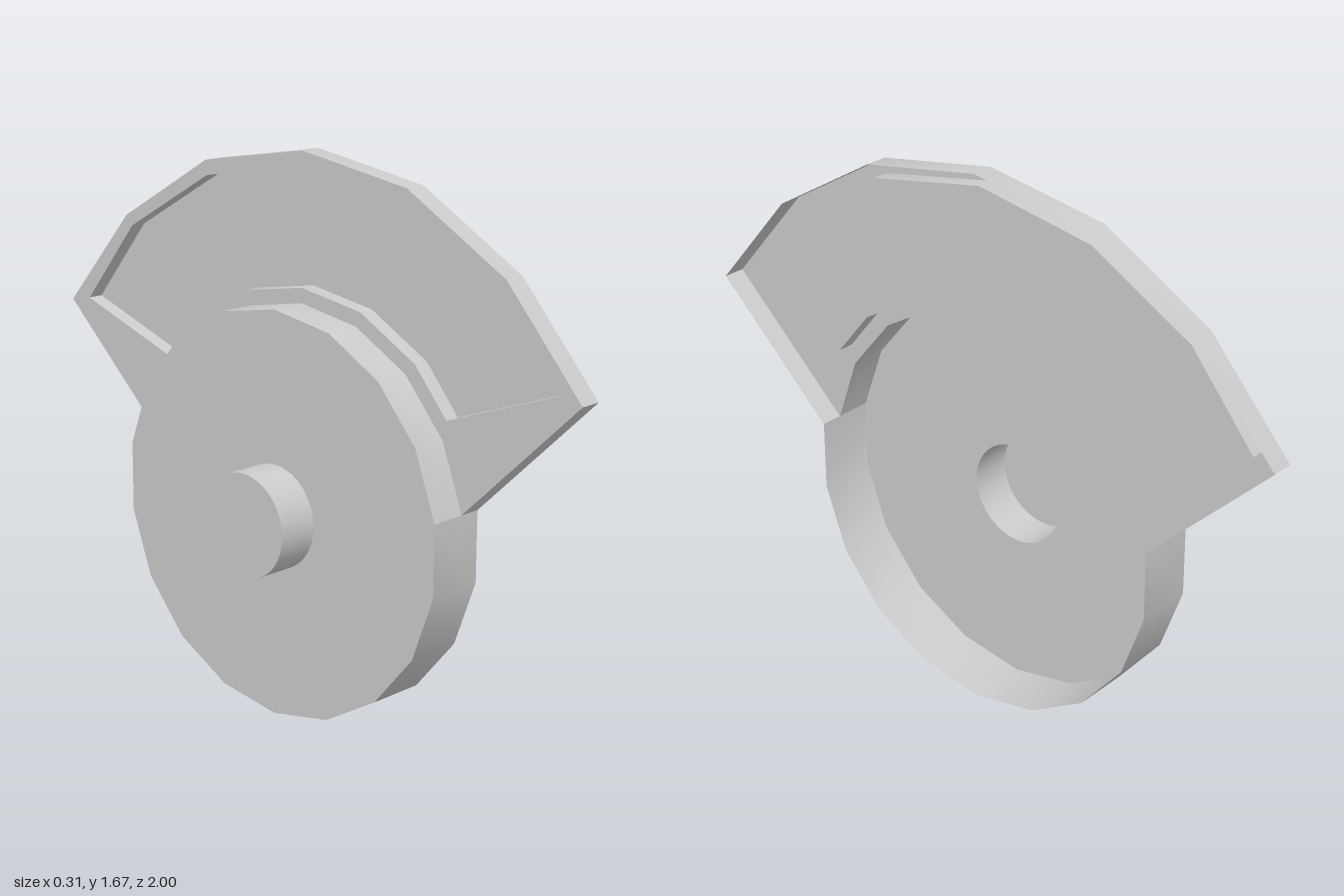
import * as THREE from 'three';
import { toCreasedNormals } from 'three/addons/utils/BufferGeometryUtils.js';

const material = new THREE.MeshStandardMaterial({ color: 0xcccccc, side: THREE.DoubleSide });

// Depths along x
const PIN = -0.16, DISC = -0.03, FAN = 0.085, PANEL = 0.135, RIM = 0.155;
const CY = 0.615;

// Points are (z, y) pairs; a half profile is completed by mirroring in z
const mirror = (half) => {
  const other = half.filter(([z]) => z !== 0).reverse().map(([z, y]) => [-z, y]);
  return [...half, ...other];
};

// Arc about the disc centre, angle in degrees measured up from the bottom
const arc = (r, sides, from = 0, count = sides) =>
  Array.from({ length: count }, (_, i) => {
    const a = (from + i * 360 / sides) * Math.PI / 180;
    return [r * Math.sin(a), CY - r * Math.cos(a)];
  });

// Flat face at depth x, looking towards -x
function face(points, x, hole) {
  const toVectors = (list) => list.map(([z, y]) => new THREE.Vector2(z, y));
  const shape = new THREE.Shape(toVectors(points));
  if (hole) shape.holes.push(new THREE.Path(toVectors(hole)));
  return new THREE.ShapeGeometry(shape).rotateY(-Math.PI / 2).translate(x, 0, 0);
}

// Strip following the points between two depths
function wall(points, x0, x1, closed = true) {
  const n = points.length, pos = [], index = [];
  for (const [z, y] of points) pos.push(x0, y, z, x1, y, z);
  for (let i = 0; i < (closed ? n : n - 1); i++) {
    const a = 2 * i, b = 2 * ((i + 1) % n);
    index.push(a, b, a + 1, b, b + 1, a + 1);
  }
  const g = new THREE.BufferGeometry();
  g.setAttribute('position', new THREE.Float32BufferAttribute(pos, 3));
  g.setIndex(index);
  // keep outward normals on counter-clockwise outlines
  return toCreasedNormals(g, Math.PI / 5);
}

export function createModel() {
  const group = new THREE.Group();
  const add = (name, geometry) => {
    const mesh = new THREE.Mesh(geometry, material);
    mesh.name = name;
    group.add(mesh);
  };

  const disc = arc(CY, 18);
  const pin = arc(0.157, 40);
  const lowerArc = arc(CY, 18, -100, 11);
  const upperArc = arc(CY, 18, 100, 9);

  // Round web, open on the +x side
  add('discFace', face(disc, DISC, pin));
  add('discLowerRim', wall(lowerArc, DISC, RIM, false));
  add('discUpperRim', wall(upperArc, DISC, FAN, false));

  // Hollow pin
  add('pinWall', wall(pin, PIN, DISC));
  add('pinEnd', face(pin, PIN));

  // Fan-shaped counterweight with a pocket pressed into it
  const fanEdge = mirror([[0.606, 0.722], [1, 1.1], [0.74, 1.4], [0.39, 1.605], [0, 1.67]]
    ).slice(0, 9);
  const pocketOuter = [[0.92, 1.115], [0.715, 1.37], [0.385, 1.56], [0, 1.63]];
  const pocketInner = [[0, 1.275], [0.225, 1.237], [0.43, 1.12], [0.545, 0.98]];
  const flip = (list) => list.map(([z, y]) => [-z, y]).reverse();
  const pocket = [
    ...pocketOuter, ...flip(pocketOuter.slice(0, 3)),
    ...flip(pocketInner.slice(1)), ...pocketInner,
  ];
  const fan = [...fanEdge, ...upperArc.slice(1, -1).reverse()];

  add('counterweightFace', face(fan, FAN, pocket));
  add('counterweightRim', wall(fanEdge, FAN, RIM, false));
  add('pocketWall', wall(pocket, FAN, PANEL));
  add('pocketFloor', face(pocket, PANEL));

  return group;
}
